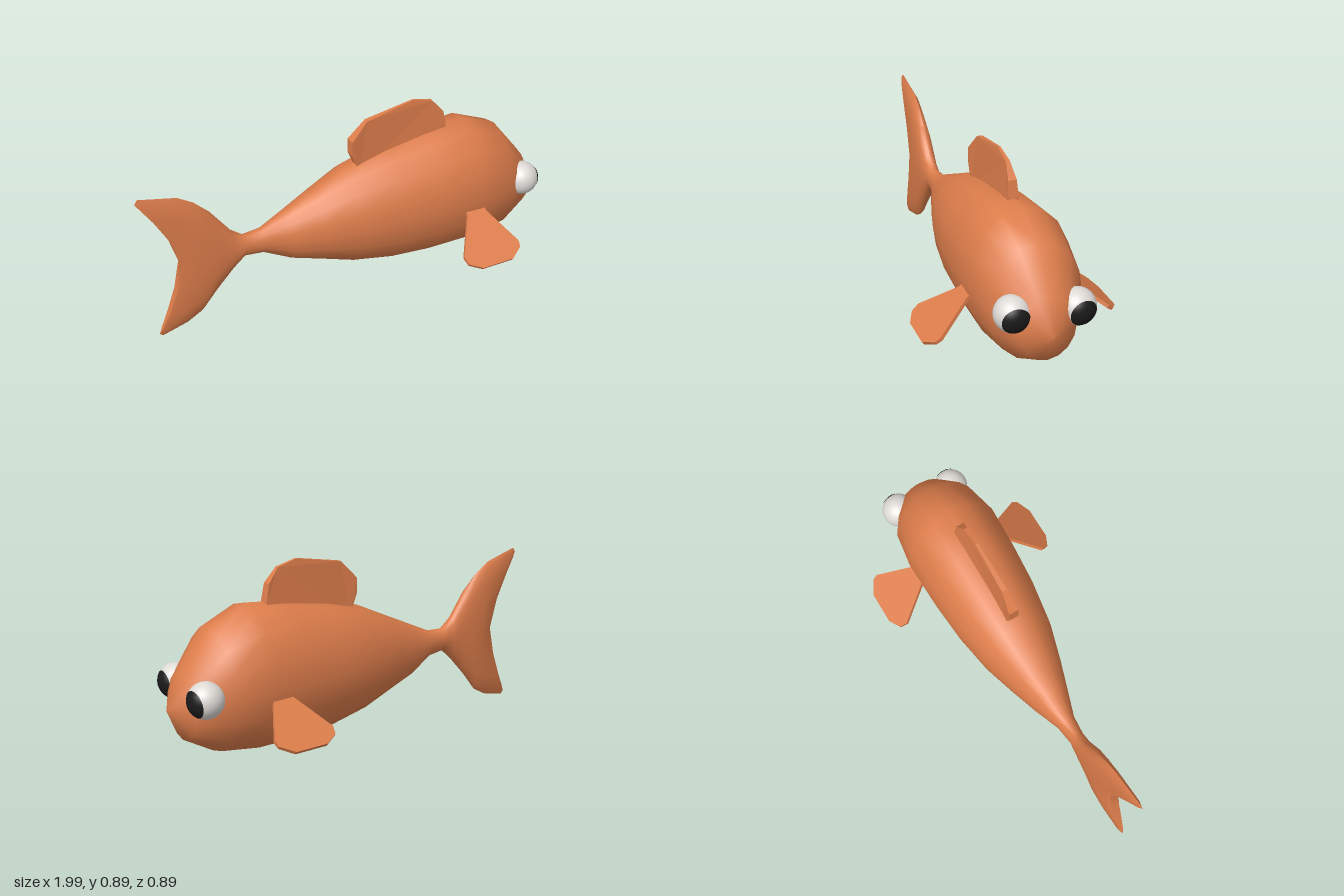
import * as THREE from 'three';
import { toCreasedNormals } from 'three/addons/utils/BufferGeometryUtils.js';

const orange = new THREE.MeshStandardMaterial({ color: 0xdd7d4b });
const white = new THREE.MeshStandardMaterial({ color: 0xdedad6 });
const black = new THREE.MeshStandardMaterial({ color: 0x1a1a1a });

function part(name, geometry, material) {
  const mesh = new THREE.Mesh(geometry, material);
  mesh.name = name;
  return mesh;
}

// Oval cross-sections from tail to nose: x at top, middle, bottom; top y, bottom y; half width; centre z
const SECTIONS = [
  [-1.0, -0.825, -0.95, 0.745, 0.02, 0.022, -0.003],
  [-0.985, -0.81, -0.935, 0.765, 0.005, 0.028, -0.005],
  [-0.81, -0.75, -0.81, 0.72, 0.035, 0.04, -0.01],
  [-0.74, -0.69, -0.74, 0.675, 0.075, 0.042, -0.01],
  [-0.67, -0.63, -0.67, 0.605, 0.165, 0.042, -0.01],
  [-0.58, -0.57, -0.58, 0.48, 0.265, 0.038, -0.01],
  [-0.52, -0.52, -0.52, 0.43, 0.32, 0.035, -0.01],
  [-0.43, -0.43, -0.43, 0.435, 0.31, 0.045, -0.012],
  [-0.3, -0.3, -0.3, 0.495, 0.24, 0.09, -0.012],
  [-0.16, -0.16, -0.16, 0.56, 0.195, 0.136, -0.012],
  [0, 0, 0, 0.635, 0.14, 0.183, -0.012],
  [0.2, 0.2, 0.2, 0.685, 0.1, 0.215, -0.012],
  [0.4, 0.4, 0.4, 0.72, 0.083, 0.23, -0.012],
  [0.6, 0.6, 0.6, 0.742, 0.083, 0.237, -0.012],
  [0.78, 0.78, 0.78, 0.665, 0.11, 0.208, -0.012],
  [0.92, 0.92, 0.92, 0.485, 0.19, 0.125, -0.01],
  [0.992, 0.992, 0.992, 0.335, 0.335, 0, -0.005],
];

function bodyGeometry() {
  const sides = 16, positions = [], index = [];
  for (const [xTop, xMid, xBottom, top, bottom, halfWidth, cz] of SECTIONS) {
    for (let j = 0; j < sides; j++) {
      const a = (j / sides) * Math.PI * 2, c = Math.cos(a);
      const xEnd = c > 0 ? xTop : xBottom;
      positions.push(
        xMid + (xEnd - xMid) * Math.abs(c) ** 1.5,
        (top + bottom) / 2 + (c * (top - bottom)) / 2,
        cz + halfWidth * Math.sin(a));
    }
  }
  for (let i = 0; i < SECTIONS.length - 1; i++) {
    for (let j = 0; j < sides; j++) {
      const a = i * sides + j, b = i * sides + ((j + 1) % sides);
      index.push(a, b, a + sides, b, b + sides, a + sides);
    }
  }
  // Narrow strip closing the trailing edge of the tail
  for (let j = 0; j < sides / 2; j++) {
    const m = (sides - j) % sides, n = sides - j - 1;
    index.push(j, m, j + 1, m, n, j + 1);
  }
  const g = new THREE.BufferGeometry();
  g.setAttribute('position', new THREE.Float32BufferAttribute(positions, 3));
  g.setIndex(index);
  return toCreasedNormals(g, 0.9);
}

function plate(points, thickness) {
  const shape = new THREE.Shape(points.map(([x, y]) => new THREE.Vector2(x, y)));
  return new THREE.ExtrudeGeometry(shape, { depth: thickness, bevelEnabled: false })
    .translate(0, 0, -thickness / 2);
}

// Upright plate that thins towards its upper edge
function dorsalFin() {
  const g = plate([[0.06, 0.6], [0.5, 0.66], [0.505, 0.73], [0.49, 0.81], [0.435, 0.875],
    [0.335, 0.9], [0.1, 0.855], [0.02, 0.77], [0.02, 0.7]], 0.048);
  const p = g.attributes.position;
  for (let i = 0; i < p.count; i++) {
    const t = THREE.MathUtils.clamp((p.getY(i) - 0.78) / 0.12, 0, 1);
    p.setZ(i, p.getZ(i) * (1 - 0.78 * t) - 0.018);
  }
  g.computeVertexNormals();
  return part('dorsalFin', g, orange);
}

// Fan-shaped side fin sloping down and out; side is +1 or -1 along z
function pectoralFin(side) {
  const g = plate([[0.51, -0.06], [0.61, -0.06], [0.61, 0], [0.705, 0.185], [0.7, 0.215],
    [0.64, 0.26], [0.48, 0.26], [0.42, 0.225], [0.41, 0.185], [0.51, 0]], 0.016);
  g.rotateX(side * (Math.PI / 2 + 0.635));
  const fin = part(side > 0 ? 'rightPectoralFin' : 'leftPectoralFin', g, orange);
  fin.position.set(0, 0.355, side > 0 ? 0.225 : -0.235);
  return fin;
}

// Eyeball with a pupil cap looking forward (+x) and slightly outward
function eye(name, x, y, z, radius) {
  const group = new THREE.Group();
  group.name = name;
  const cap = new THREE.SphereGeometry(radius * 1.02, 32, 12, 0, Math.PI * 2, 0, 0.83);
  cap.rotateZ(-Math.PI / 2 - 0.12).rotateY(-Math.sign(z) * 0.08);
  group.add(
    part('eyeball', new THREE.SphereGeometry(radius, 32, 24), white),
    part('pupil', cap, black));
  group.position.set(x, y, z);
  return group;
}

export function createModel() {
  const model = new THREE.Group();
  model.name = 'fish';
  model.add(
    part('bodyAndTail', bodyGeometry(), orange),
    dorsalFin(),
    pectoralFin(1),
    pectoralFin(-1),
    eye('rightEye', 0.866, 0.41, 0.128, 0.08),
    eye('leftEye', 0.885, 0.4, -0.15, 0.08));
  return model;
}
